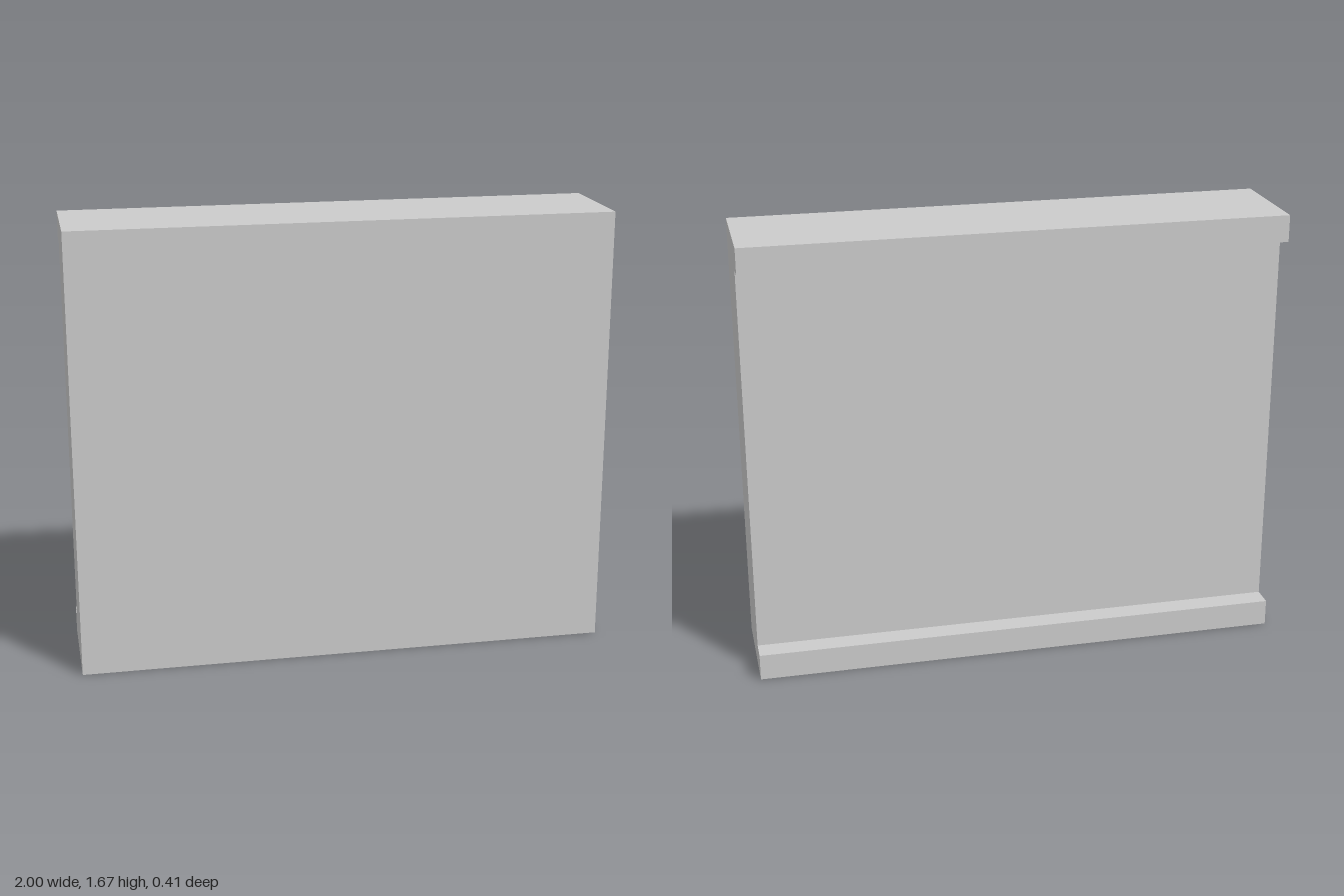
import * as THREE from 'three';

const WIDTH = 2, HEIGHT = 1.67, FRONT = 0.207, BACK = -0.207;
const RECESS = -0.125; // z of the recessed back face
const LIP = 0.1;       // height of the top and bottom lips

export function createModel() {
  const group = new THREE.Group();
  group.name = 'lippedPanel';

  // C-shaped side profile, drawn as (-z, y) so it turns onto the x axis
  const profile = new THREE.Shape([
    [FRONT, 0], [BACK, 0], [BACK, LIP], [RECESS, LIP],
    [RECESS, HEIGHT - LIP], [BACK, HEIGHT - LIP], [BACK, HEIGHT], [FRONT, HEIGHT],
  ].map(([z, y]) => new THREE.Vector2(-z, y)));

  const geometry = new THREE.ExtrudeGeometry(profile, { depth: WIDTH, bevelEnabled: false });
  geometry.translate(0, 0, -WIDTH / 2).rotateY(Math.PI / 2);

  // Panel with its two back lips in one solid
  const panel = new THREE.Mesh(
    geometry,
    new THREE.MeshStandardMaterial({ color: 0xcccccc, flatShading: true }),
  );
  panel.name = 'panelWithBackLips';
  group.add(panel);
  return group;
}
